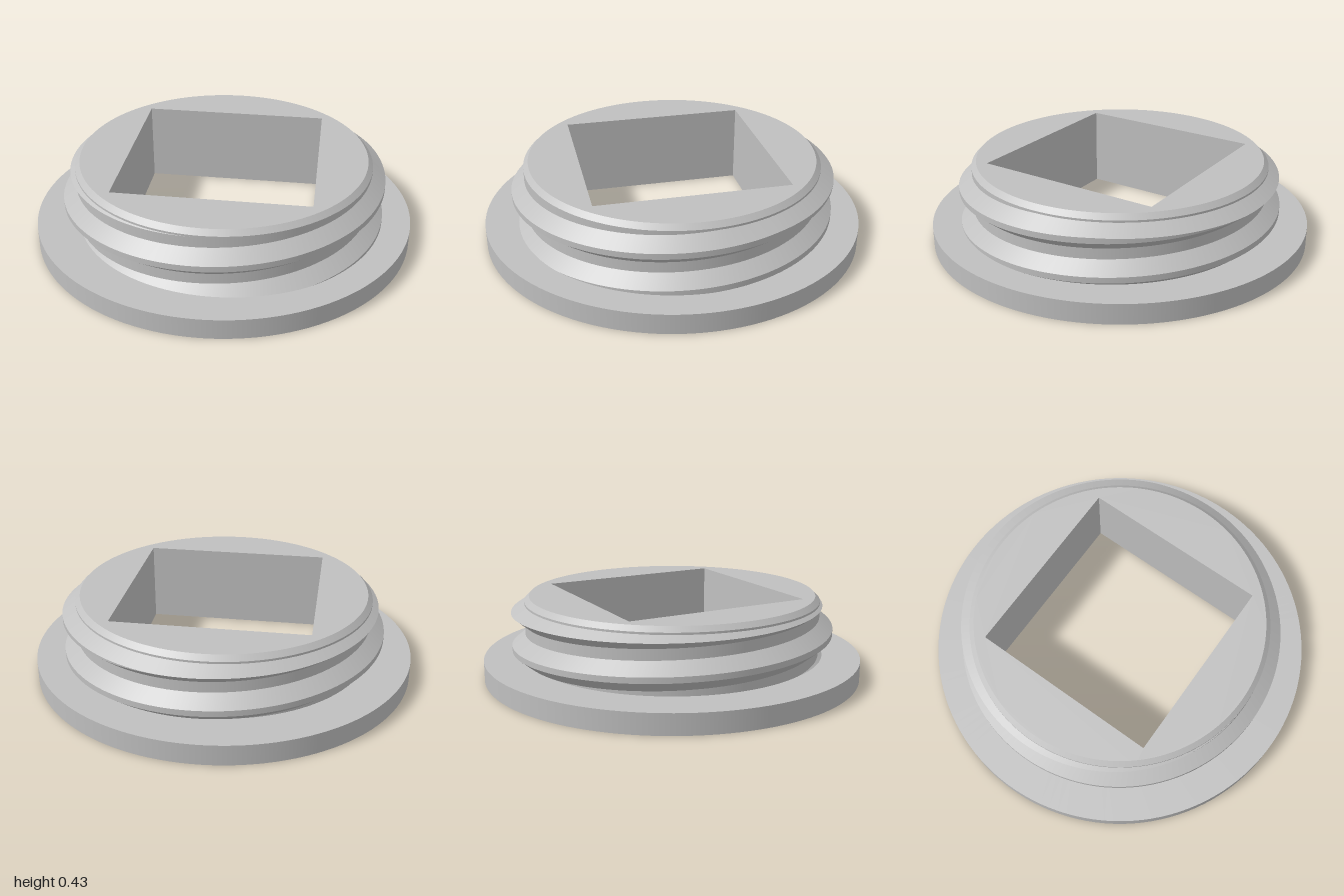
import * as THREE from 'three';

const SEG = 128;
const HOLE = 0.495;   // half side of the square opening
const HEIGHT = 0.43;
const FLANGE = 0.105; // flange thickness
const ROOT = 0.78, CREST = 0.85, PITCH = 0.2;
const CUT = 0.395;    // height where the lead-in cone meets the root

// Flat disc with the square opening
function holedDisc(radius, y, up) {
  const shape = new THREE.Shape().absarc(0, 0, radius, 0, Math.PI * 2);
  const hole = new THREE.Path();
  hole.moveTo(-HOLE, -HOLE).lineTo(-HOLE, HOLE).lineTo(HOLE, HOLE).lineTo(HOLE, -HOLE).closePath();
  shape.holes.push(hole);
  return new THREE.ShapeGeometry(shape, SEG / 2).rotateX(up ? -Math.PI / 2 : Math.PI / 2).translate(0, y, 0);
}

// One smooth band of revolution, so edges between bands stay sharp
function band(r0, y0, r1, y1) {
  return new THREE.LatheGeometry([new THREE.Vector2(r0, y0), new THREE.Vector2(r1, y1)], SEG);
}

// Thread section [r, y] x 4 for a crest centred at height c, trimmed by the lead-in cone
function threadSection(c) {
  const depth = CREST - ROOT, low = c - 0.073;
  const capY = CUT - depth * 0.667;
  let lower = [CREST, c - 0.015];
  let upper = [CREST, Math.min(c + 0.015, capY)];
  if (lower[1] > capY) {
    const t = (CUT - low) / (0.058 / depth + 0.667);
    lower = [ROOT + t, CUT - t * 0.667];
    upper = lower;
  }
  const points = [[ROOT - 0.001, low], lower, upper, [ROOT - 0.001, Math.min(c + 0.073, CUT)]];
  return points.map(([r, y]) => [r, Math.max(y, 0.02)]);
}

// Helical strip between two neighbouring section points
function threadStrip(k) {
  const startC = 0.03, endC = CUT + 0.073, steps = 300;
  const pos = [], index = [];
  for (let i = 0; i <= steps; i++) {
    const c = startC + (endC - startC) * i / steps;
    const a = (c - 0.22) / PITCH * Math.PI * 2;
    const section = threadSection(c);
    for (const [r, y] of [section[k], section[k + 1]]) pos.push(-Math.cos(a) * r, y, Math.sin(a) * r);
    if (i < steps) {
      const n = i * 2;
      index.push(n, n + 2, n + 3, n, n + 3, n + 1);
    }
  }
  const g = new THREE.BufferGeometry();
  g.setAttribute('position', new THREE.Float32BufferAttribute(pos, 3));
  g.setIndex(index);
  g.computeVertexNormals();
  return g;
}

export function createModel() {
  const model = new THREE.Group();
  model.name = 'threadedPlug';
  const grey = new THREE.MeshStandardMaterial({ color: 0xc0c0c0 });
  grey.name = 'grey';
  const add = (name, geometry) => {
    const mesh = new THREE.Mesh(geometry, grey);
    mesh.name = name;
    model.add(mesh);
    return mesh;
  };

  // Flange
  add('flangeUnderside', holedDisc(1, 0, false));
  add('flangeRim', band(1, 0, 1, FLANGE));
  add('flangeTop', band(1, FLANGE, ROOT, FLANGE));

  // Core with chamfered top
  add('coreWall', band(ROOT, FLANGE, ROOT, 0.405));
  add('coreChamfer', band(ROOT, 0.405, 0.755, HEIGHT));
  add('coreTop', holedDisc(0.755, HEIGHT, true));

  // Walls of the square opening, facing inward
  for (let i = 0; i < 4; i++) {
    const wall = new THREE.PlaneGeometry(HOLE * 2, HEIGHT).translate(0, HEIGHT / 2, -HOLE);
    add('openingWall' + (i + 1), wall.rotateY(i * Math.PI / 2));
  }

  // Screw thread
  ['threadLowerFlank', 'threadCrest', 'threadUpperFlank'].forEach((name, k) => add(name, threadStrip(k)));

  return model;
}
